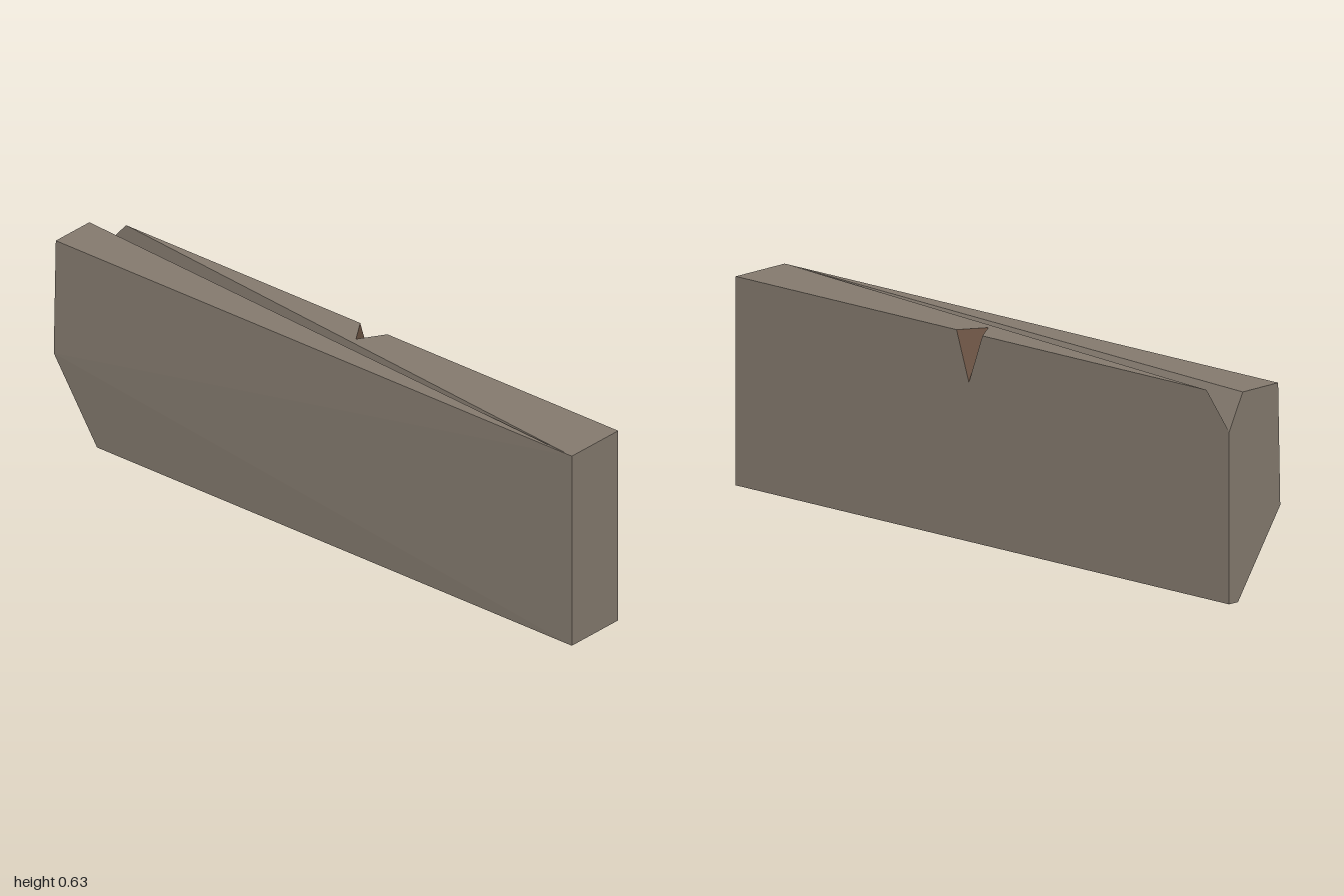
import * as THREE from 'three';

const H = 0.63, F = 0.099, B = -0.107; // height, front z, back z

// Flat face from an outline, counter-clockwise when seen from outside.
function addFace(positions, outline) {
  const n = new THREE.Vector3();
  outline.forEach((a, i) => {
    const b = outline[(i + 1) % outline.length];
    n.x += (a[1] - b[1]) * (a[2] + b[2]);
    n.y += (a[2] - b[2]) * (a[0] + b[0]);
    n.z += (a[0] - b[0]) * (a[1] + b[1]);
  });
  const size = n.toArray().map(Math.abs);
  const drop = size.indexOf(Math.max(...size));
  const [u, v] = [0, 1, 2].filter((k) => k !== drop);
  const flat = outline.map((p) => new THREE.Vector2(p[u], p[v]));
  for (const tri of THREE.ShapeUtils.triangulateShape(flat, [])) {
    const [a, b, c] = tri.map((i) => new THREE.Vector3(...outline[i]));
    const facing = b.clone().sub(a).cross(c.clone().sub(a)).dot(n);
    for (const p of facing > 0 ? [a, b, c] : [a, c, b]) positions.push(p.x, p.y, p.z);
  }
}

function makePart(name, material, faces) {
  const positions = [];
  faces.forEach((f) => addFace(positions, f));
  const geometry = new THREE.BufferGeometry();
  geometry.setAttribute('position', new THREE.Float32BufferAttribute(positions, 3));
  geometry.computeVertexNormals();
  const mesh = new THREE.Mesh(geometry, material);
  mesh.name = name;
  return mesh;
}

export function createModel() {
  const stone = new THREE.MeshStandardMaterial({ color: 0x857b6f });
  stone.name = 'stone';
  const brokenStone = new THREE.MeshStandardMaterial({ color: 0x6b5343 });
  brokenStone.name = 'brokenStone';

  // Slab corners
  const frontTopR = [-1, H, F], frontTopL = [1, H, F], frontLowL = [1, 0, F];
  const backTopL = [1, H, B], backLowL = [1, 0, B], backLowR = [-1, 0, B];
  // Worn upper back corner
  const wornBack = [-0.908, H, B], wornSide = [-1, H, -0.05], wornLow = [-1, 0.52, B];
  // Notch in the upper back edge
  const notchL = [0.105, H, B], notchR = [0, H, B];
  const notchIn = [0.055, H, -0.025], notchLow = [0.055, 0.48, B];
  // Chipped lower front corner
  const chipTop = [-1, 0.26, 0.108], chipFront = [-0.84, 0, F];
  const chipIn = [-0.84, 0, -0.04], chipSide = [-1, 0, -0.07];

  const model = new THREE.Group();
  model.name = 'chippedSlab';
  model.add(
    makePart('slab', stone, [
      // front, fanned around the raised chip corner
      [chipTop, chipFront, frontLowL],
      [chipTop, frontLowL, frontTopL],
      [chipTop, frontTopL, frontTopR],
      // back
      [backLowL, backLowR, wornLow, wornBack, notchR, notchLow, notchL, backTopL],
      // top, with the long sloping groove to the worn corner
      [frontTopR, frontTopL, wornSide],
      [wornSide, frontTopL, wornLow],
      [wornLow, frontTopL, wornBack],
      [frontTopL, backTopL, notchL, notchIn, notchR, wornBack],
      // bottom
      [chipFront, chipIn, chipSide, backLowR, backLowL, frontLowL],
      // ends
      [chipTop, frontTopR, wornSide, wornLow, backLowR, chipSide],
      [frontLowL, backLowL, backTopL, frontTopL],
    ]),
    makePart('edgeNotch', brokenStone, [
      [notchL, notchLow, notchIn],
      [notchR, notchIn, notchLow],
    ]),
    makePart('cornerChip', brokenStone, [
      [chipTop, chipIn, chipFront],
      [chipTop, chipSide, chipIn],
    ]),
  );
  return model;
}
